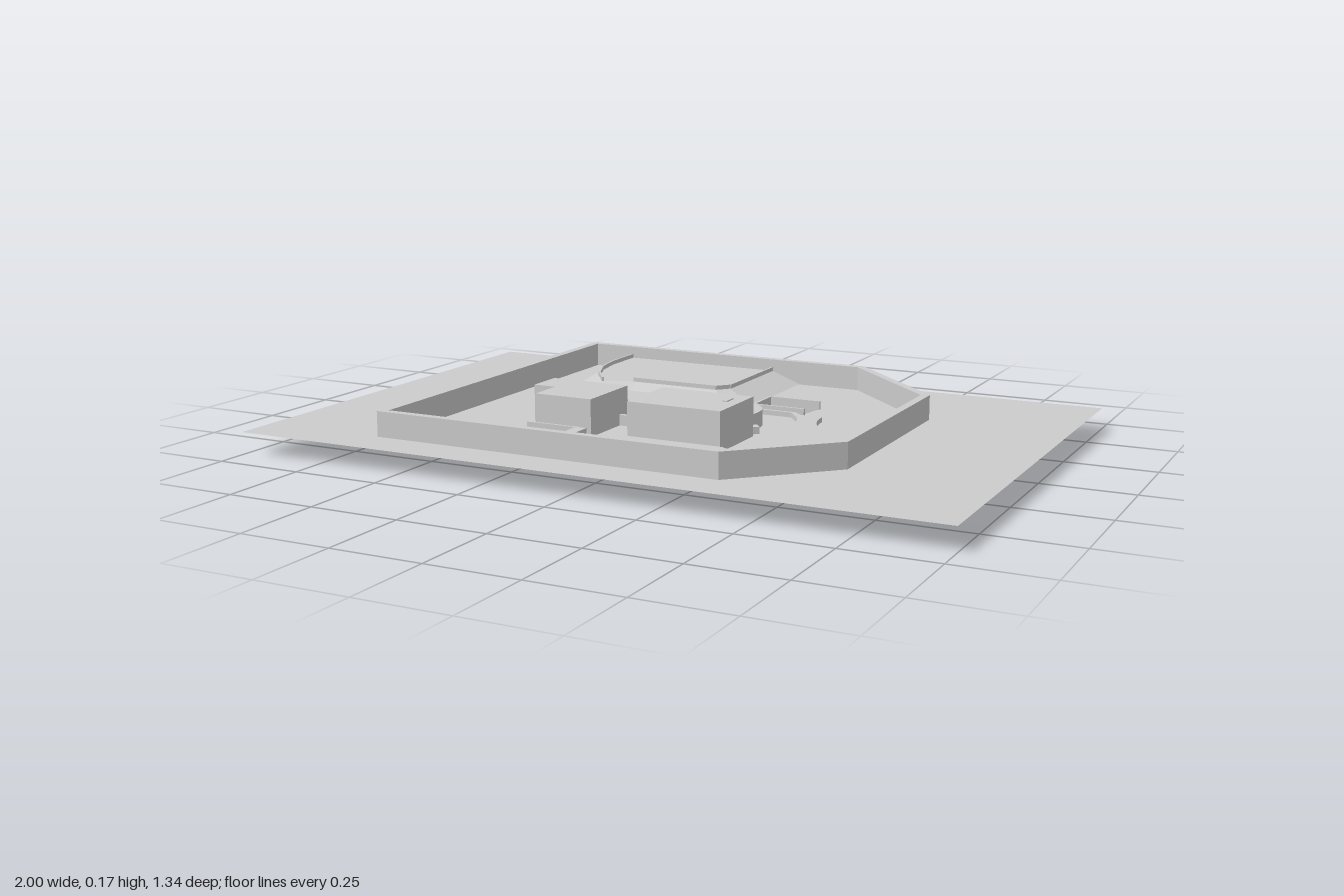
import * as THREE from 'three';

const G = 0.062; // ground level

export function createModel() {
  const group = new THREE.Group();
  const mat = new THREE.MeshStandardMaterial({ color: 0xcccccc, flatShading: true, side: THREE.DoubleSide });

  const add = (name, geo) => {
    const mesh = new THREE.Mesh(geo, mat);
    mesh.name = name;
    group.add(mesh);
    return mesh;
  };
  // plan outline in [x, z]
  const outline = (pts, Type = THREE.Shape) => new Type(pts.map(([x, z]) => new THREE.Vector2(x, -z)));
  const rect = (x0, z0, x1, z1) => [[x0, z0], [x1, z0], [x1, z1], [x0, z1]];
  const flat = (name, pts, y, holes = []) => {
    const s = outline(pts);
    s.holes = holes.map(h => outline(h, THREE.Path));
    return add(name, new THREE.ShapeGeometry(s).rotateX(-Math.PI / 2).translate(0, y, 0));
  };
  const prism = (name, pts, y1, y0 = G, holes = []) => {
    const s = outline(pts);
    s.holes = holes.map(h => outline(h, THREE.Path));
    const geo = new THREE.ExtrudeGeometry(s, { depth: y1 - y0, bevelEnabled: false });
    return add(name, geo.rotateX(-Math.PI / 2).translate(0, y0, 0));
  };
  const arc = (cx, cz, rx, rz, a0, a1, n = 8) => Array.from({ length: n + 1 }, (_, i) => {
    const a = (a0 + (a1 - a0) * i / n) * Math.PI / 180;
    return [cx + rx * Math.cos(a), cz + rz * Math.sin(a)];
  });
  // surface spanned between two rows of 3D points
  const ribbon = (name, a, b) => {
    const pos = [];
    for (let i = 0; i < a.length - 1; i++) {
      pos.push(...a[i], ...b[i], ...b[i + 1], ...a[i], ...b[i + 1], ...a[i + 1]);
    }
    const geo = new THREE.BufferGeometry();
    geo.setAttribute('position', new THREE.Float32BufferAttribute(pos, 3));
    geo.computeVertexNormals();
    return add(name, geo);
  };
  // thin straight wall between two plan points
  const thinWall = (name, [x0, z0], [x1, z1], y0, y1, t = 0.008) => {
    const geo = new THREE.BoxGeometry(Math.hypot(x1 - x0, z1 - z0) + t, y1 - y0, t);
    const wall = add(name, geo);
    wall.position.set((x0 + x1) / 2, (y0 + y1) / 2, (z0 + z1) / 2);
    wall.rotation.y = -Math.atan2(z1 - z0, x1 - x0);
  };

  // ground sheet, open above the two ramps
  const eastRamp = rect(0.13, -0.295, 0.28, -0.18);
  const westRamp = rect(-0.32, 0.3, -0.17, 0.45);
  flat('ground', rect(-1, -0.675, 1, 0.665), G, [eastRamp, westRamp]);

  // perimeter wall
  prism('perimeterWall',
    [[-0.64, -0.625], [0.29, -0.625], [0.605, -0.31], [0.605, 0.31], [0.365, 0.545], [-0.64, 0.545]],
    0.132, G,
    [[[-0.617, -0.602], [0.28, -0.602], [0.582, -0.3], [0.582, 0.3], [0.356, 0.522], [-0.617, 0.522]]]);

  // underground passage: L-shaped floor, walls and two ramps
  const passage = [[0.13, -0.18], [0.13, 0.45], [-0.17, 0.45], [-0.17, 0.3], [0, 0.3], [0, -0.295], [0.13, -0.295]];
  flat('passageFloor', passage, 0);
  const at = (pts, y) => pts.map(([x, z]) => [x, y, z]);
  for (const run of [passage.slice(0, 3), passage.slice(3)]) {
    ribbon('passageWall', at(run, 0), at(run, G));
  }
  for (const [xLow, xHigh, z0, z1] of [[0.13, 0.28, -0.295, -0.18], [-0.17, -0.32, 0.3, 0.45]]) {
    ribbon('ramp', [[xLow, 0, z0], [xHigh, G, z0]], [[xLow, 0, z1], [xHigh, G, z1]]);
    for (const z of [z0, z1]) {
      ribbon('rampSide', [[xLow, 0, z], [xHigh, G, z]], [[xLow, G, z], [xHigh, G, z]]);
      thinWall('rampParapet', [xLow, z], [xHigh, z], G, G + 0.025);
    }
    thinWall('rampParapet', [xLow, z0], [xLow, z1], G, G + 0.025);
  }

  // raised lawn with sloped banks and a parapet
  const top = [[0, -0.602], [0, -0.3], [-0.03, -0.265], [-0.3, -0.265], [-0.39, -0.23],
    [-0.44, -0.3], [-0.475, -0.38], [-0.49, -0.47], [-0.49, -0.602]];
  const foot = [[0.09, -0.602], [0.09, -0.24], [0.03, -0.185], [-0.27, -0.185], [-0.41, -0.155],
    [-0.48, -0.24], [-0.52, -0.33], [-0.55, -0.45], [-0.55, -0.602]];
  const lawnY = G + 0.035;
  flat('lawn', top, lawnY);
  ribbon('bank', at(top, lawnY), at(foot, G + 0.001));
  top.slice(1).forEach((p, i) => {
    if (i !== 3) thinWall('lawnParapet', top[i], p, lawnY, lawnY + 0.012, 0.006);
  });

  // tall buildings
  prism('eastBuilding', rect(-0.02, 0.09, 0.25, 0.295), 0.17);
  prism('roofVent', rect(0.203, 0.145, 0.217, 0.185), 0.173, 0.17);
  prism('westBuilding',
    [[-0.365, 0.09], [-0.13, 0.09], [-0.13, 0.295], [-0.3, 0.295], [-0.3, 0.195], [-0.365, 0.195]], 0.165);
  prism('sideStep', rect(-0.13, 0.125, -0.09, 0.138), G + 0.03);

  // low buildings with rounded corners
  prism('northWestBuilding',
    [...arc(-0.245, -0.005, 0.1, 0.1, 180, 270), [-0.115, -0.105], [-0.115, 0.03], [-0.345, 0.03]], 0.105);
  prism('northBuilding',
    [[-0.06, -0.105], ...arc(0.125, -0.005, 0.1, 0.1, 270, 360), [0.225, 0.04], [0.18, 0.055], [-0.06, 0.055]], 0.108);
  prism('northPorch', rect(0.06, -0.115, 0.095, -0.105), G + 0.03);
  prism('linkWalk', [[0.18, 0.085], [0.2, 0.055], [0.24, 0.04], [0.255, 0.06], [0.215, 0.09]], G + 0.02);

  // front terraces
  prism('frontTerrace',
    [[-0.02, 0.297], ...arc(0.25, 0.33, 0.03, 0.033, 270, 360, 4), [0.28, 0.445], [-0.02, 0.445]], G + 0.016);
  prism('rampLanding', rect(-0.166, 0.3, -0.14, 0.445), G + 0.025);
  prism('landingStep', rect(-0.14, 0.33, -0.1, 0.415), G + 0.018);

  // curved garden terrace on the east side
  prism('gardenTerrace', [
    [0.16, -0.175], [0.26, -0.175], [0.285, -0.15], [0.35, -0.15],
    ...arc(0.58, -0.15, 0.23, 0.22, 180, 92, 12),
    [0.58, 0.29], [0.33, 0.29], [0.31, 0.26], [0.305, -0.08], [0.285, -0.12], [0.25, -0.165], [0.16, -0.165],
  ], G + 0.014);

  return group;
}
